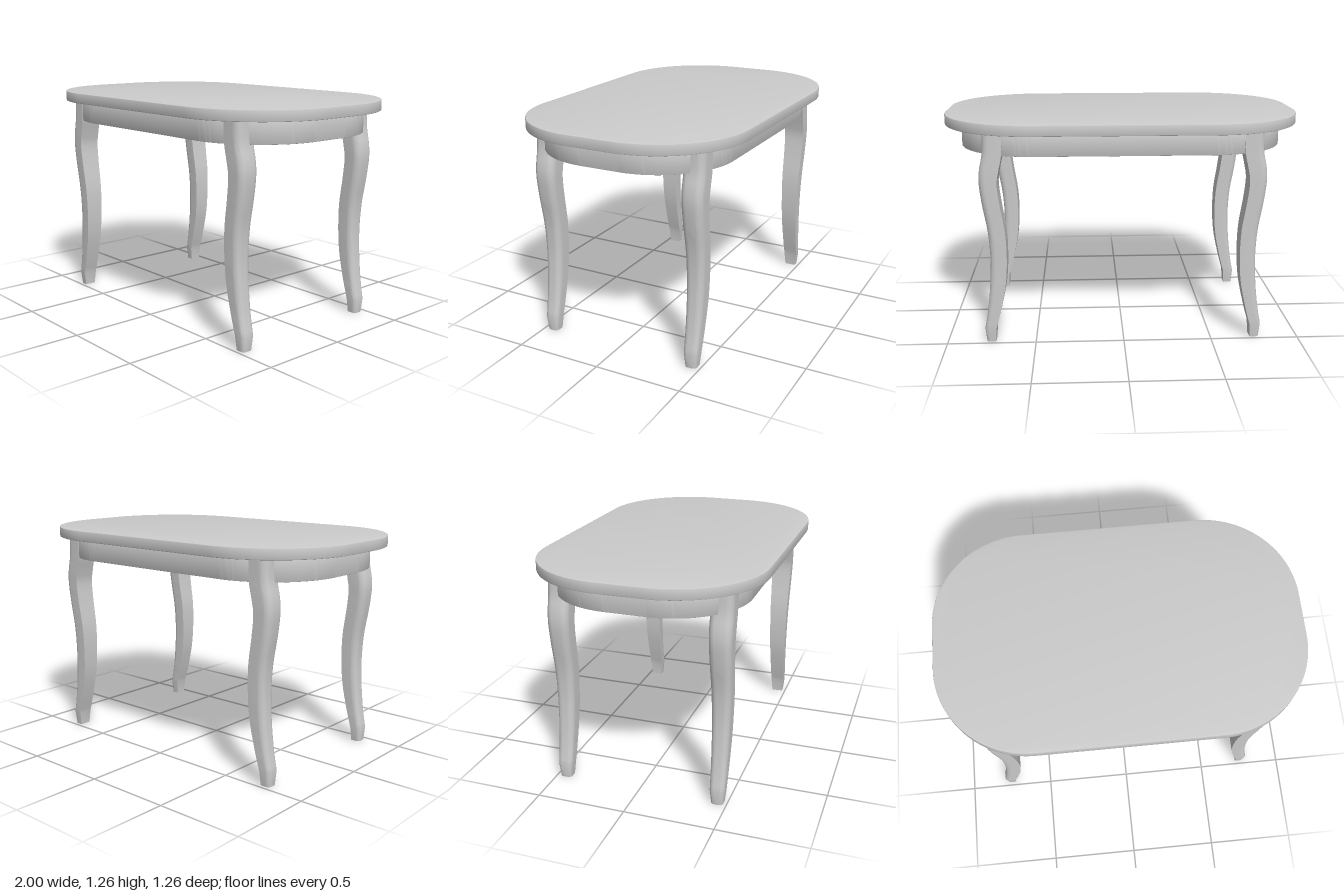
import * as THREE from 'three';
import { toCreasedNormals } from 'three/addons/utils/BufferGeometryUtils.js';

const material = new THREE.MeshStandardMaterial({ color: 0xcccccc });

// Rounded rectangle traced into a Shape or Path; a and b are half sizes.
function roundedRect(path, a, b, r) {
  path.moveTo(a, -b + r);
  path.absarc(a - r, b - r, r, 0, Math.PI / 2);
  path.absarc(-a + r, b - r, r, Math.PI / 2, Math.PI);
  path.absarc(-a + r, -b + r, r, Math.PI, Math.PI * 1.5);
  path.absarc(a - r, -b + r, r, Math.PI * 1.5, Math.PI * 2);
  path.closePath();
  return path;
}

// Horizontal slab between two heights with slightly softened edges.
function slab(name, shape, y0, y1, bevel) {
  const geometry = new THREE.ExtrudeGeometry(shape, {
    depth: y1 - y0 - 2 * bevel, curveSegments: 24,
    bevelSize: bevel, bevelThickness: bevel, bevelOffset: -bevel, bevelSegments: 2,
  });
  geometry.rotateX(-Math.PI / 2);
  geometry.translate(0, y0 + bevel, 0);
  const mesh = new THREE.Mesh(toCreasedNormals(geometry, 0.5), material);
  mesh.name = name;
  return mesh;
}

// Leg outline as (outer x, height, inner x), from above the foot to the top.
const legLine = new THREE.CatmullRomCurve3([
  [0.787, 0.08, 0.722], [0.765, 0.2, 0.69], [0.748, 0.35, 0.659],
  [0.741, 0.5, 0.648], [0.749, 0.65, 0.652], [0.773, 0.8, 0.674],
  [0.786, 0.92, 0.686], [0.781, 1.0, 0.674], [0.763, 1.09, 0.655],
  [0.758, 1.207, 0.652],
].map((p) => new THREE.Vector3(...p)), false, 'catmullrom');
const foot = new THREE.Vector3(0.78, 0, 0.727);

// S-curved, tapering leg with rounded outer corners.
function legGeometry() {
  const section = new THREE.Shape();
  section.moveTo(0, -1);
  section.lineTo(0.6, -1);
  section.absellipse(0.6, -0.35, 0.4, 0.65, -Math.PI / 2, 0);
  section.absellipse(0.6, 0.35, 0.4, 0.65, 0, Math.PI / 2);
  section.lineTo(0, 1);
  section.closePath();
  const steps = 37;
  const geometry = new THREE.ExtrudeGeometry(section, {
    depth: 1, steps, bevelEnabled: false, curveSegments: 6,
  });
  const pos = geometry.attributes.position;
  for (let i = 0; i < pos.count; i++) {
    const step = Math.round(pos.getZ(i) * steps);
    const p = step === 0 ? foot : legLine.getPoint((step - 1) / (steps - 1));
    const half = step === 0 ? 0.033 : Math.min(0.062, 0.04 + 0.0225 * p.y);
    pos.setXYZ(i, THREE.MathUtils.lerp(p.z, p.x, pos.getX(i)), p.y, -pos.getY(i) * half);
  }
  return toCreasedNormals(geometry, 0.5);
}

export function createModel() {
  const group = new THREE.Group();
  group.name = 'table';

  // Top
  group.add(slab('tableTop', roundedRect(new THREE.Shape(), 1, 0.632, 0.51), 1.205, 1.265, 0.005));

  // Apron ring, open underneath
  const ring = roundedRect(new THREE.Shape(), 0.91, 0.542, 0.43);
  ring.holes.push(roundedRect(new THREE.Path(), 0.882, 0.514, 0.402));
  group.add(slab('apron', ring, 1.081, 1.209, 0.004));

  // Legs: the pair on the -x side is turned half way round
  const geometry = legGeometry();
  for (const sx of [1, -1]) {
    for (const sz of [1, -1]) {
      const leg = new THREE.Mesh(geometry, material);
      leg.name = (sz > 0 ? 'front' : 'back') + (sx > 0 ? 'Left' : 'Right') + 'Leg';
      leg.rotation.y = sx > 0 ? 0 : Math.PI;
      leg.position.z = sz * 0.447;
      group.add(leg);
    }
  }
  return group;
}
